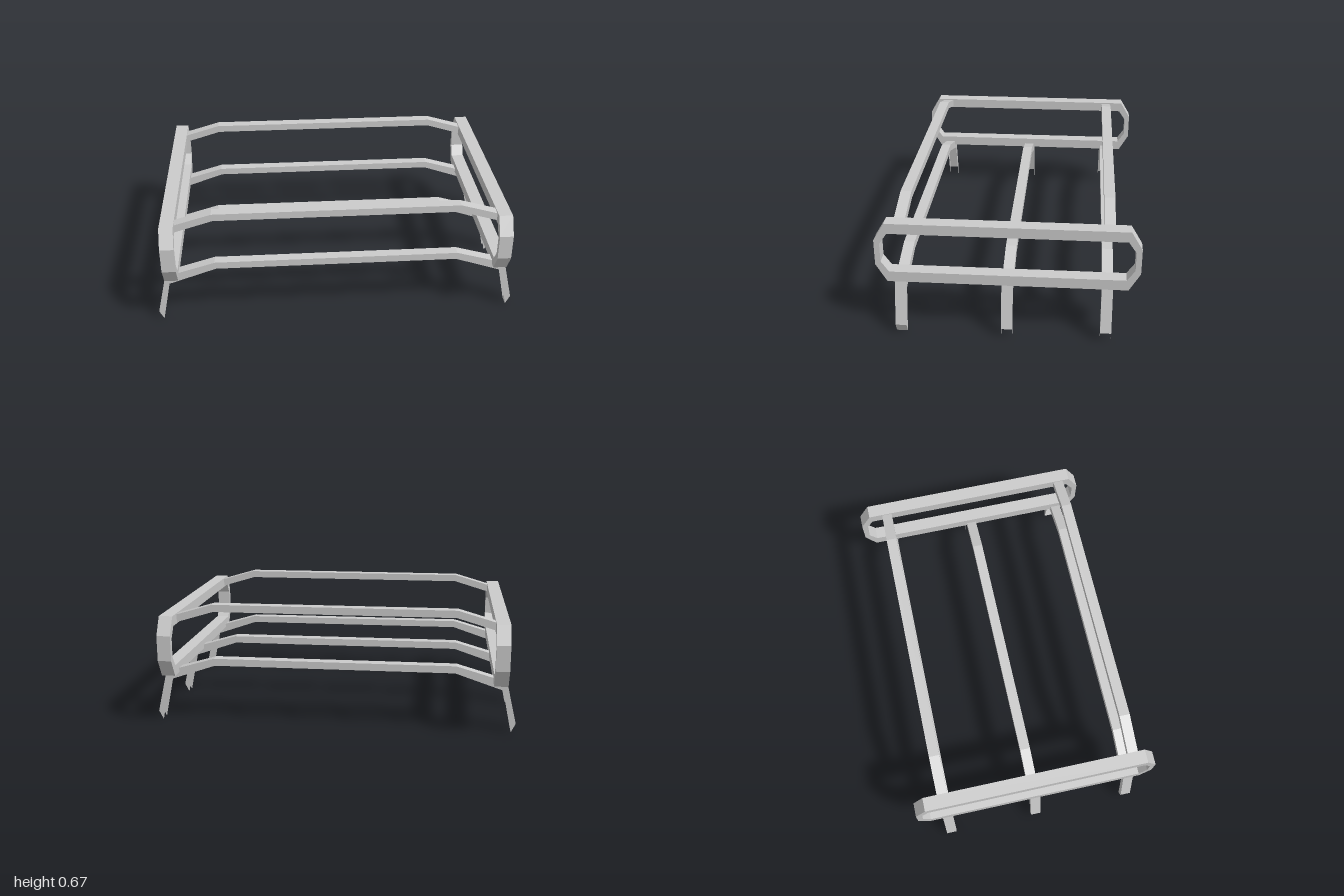
import * as THREE from 'three';

const material = new THREE.MeshStandardMaterial({ color: 0xcccccc, flatShading: true, side: THREE.DoubleSide });

// Right halves of the bent profiles, centre to end: [outer x, outer y, inner x, inner y]
const LOWER = [[0.67, 0.365, 0.665, 0.325], [0.945, 0.285, 0.925, 0.237], [1.0, 0.05, 0.975, 0.0]];
const UPPER = [[0.67, 0.672, 0.665, 0.632], [0.89, 0.608, 0.885, 0.566]];

// Sheet-metal channel following a mirrored profile, open on its inner side
function channel(name, half, z, width, capEnd = false) {
  const left = half.map(([ox, oy, ix, iy]) => [-ox, oy, -ix, iy]).reverse();
  const zf = z + width / 2, zb = z - width / 2;
  const sections = [...left, ...half].map(([ox, oy, ix, iy]) => [
    [ix, iy, zf], [ox, oy, zf], [ox, oy, zb], [ix, iy, zb],
  ]);
  const pos = [];
  const quad = (a, b, c, d) => pos.push(...a, ...b, ...c, ...a, ...c, ...d);
  for (let i = 0; i < sections.length - 1; i++) {
    const s = sections[i], t = sections[i + 1];
    for (let k = 0; k < 3; k++) quad(s[k], t[k], t[k + 1], s[k + 1]);
  }
  if (capEnd) {
    const e = sections[sections.length - 1];
    quad(e[0], e[3], e[2], e[1]);
  }
  const geometry = new THREE.BufferGeometry();
  geometry.setAttribute('position', new THREE.Float32BufferAttribute(pos, 3));
  geometry.computeVertexNormals();
  const mesh = new THREE.Mesh(geometry, material);
  mesh.name = name;
  return mesh;
}

// Eight-sided outline, symmetric front to back
function octagon(PathType, z1, z2, y1, y2, y3, y4) {
  return new PathType([
    [z1, y1], [z2, y2], [z2, y3], [z1, y4], [-z1, y4], [-z2, y3], [-z2, y2], [-z1, y1],
  ].map(([a, b]) => new THREE.Vector2(a, b)));
}

// Closed side rail with chamfered ends
function sideRail(name, x) {
  const width = 0.075;
  const shape = octagon(THREE.Shape, 0.622, 0.68, 0.283, 0.382, 0.522, 0.62);
  shape.holes.push(octagon(THREE.Path, 0.61, 0.651, 0.341, 0.4, 0.503, 0.563));
  const geometry = new THREE.ExtrudeGeometry(shape, { depth: width, bevelEnabled: false });
  geometry.translate(0, 0, -width / 2).rotateY(Math.PI / 2);
  const mesh = new THREE.Mesh(geometry, material);
  mesh.name = name;
  mesh.position.x = x;
  return mesh;
}

export function createModel() {
  const group = new THREE.Group();
  group.name = 'cargoRack';

  // Side rails
  group.add(sideRail('leftSideRail', 0.908), sideRail('rightSideRail', -0.908));

  // Lower crossbars with legs
  group.add(
    channel('frontLegBar', LOWER, 0.555, 0.058, true),
    channel('middleLegBar', LOWER, 0, 0.058),
    channel('rearLegBar', LOWER, -0.515, 0.058),
  );

  // Upper crossbars
  group.add(
    channel('frontUpperBar', UPPER, 0.555, 0.058),
    channel('rearUpperBar', UPPER, -0.515, 0.058),
  );
  return group;
}
